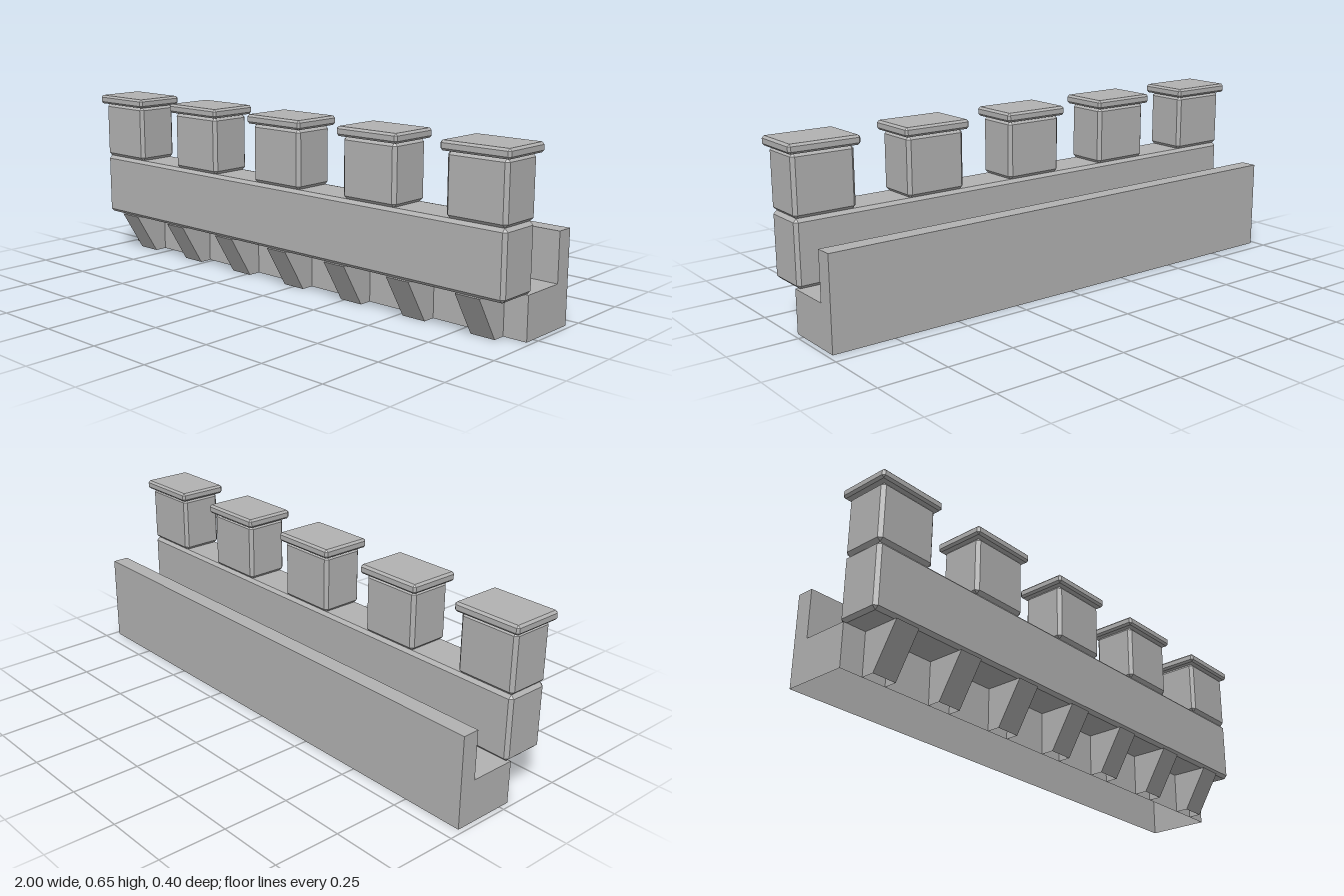
import * as THREE from 'three';
import { ConvexGeometry } from 'three/addons/geometries/ConvexGeometry.js';

const stone = new THREE.MeshStandardMaterial({ color: 0xb2b2b2 });
stone.name = 'stone grey';
stone.side = THREE.DoubleSide;

// Box with all twelve edges chamfered by b
function chamferBox(w, h, d, b) {
  const pts = [];
  for (const sx of [-1, 1]) for (const sy of [-1, 1]) for (const sz of [-1, 1]) {
    const x = w / 2, y = h / 2, z = d / 2;
    pts.push(
      new THREE.Vector3(sx * x, sy * (y - b), sz * (z - b)),
      new THREE.Vector3(sx * (x - b), sy * y, sz * (z - b)),
      new THREE.Vector3(sx * (x - b), sy * (y - b), sz * z));
  }
  return new ConvexGeometry(pts);
}

// Side profile of [z, y] points extruded along x, left open at the base
function openProfile(points, width) {
  const shape = new THREE.Shape(points.map(([z, y]) => new THREE.Vector2(-z, y)));
  const solid = new THREE.ExtrudeGeometry(shape, { depth: width, bevelEnabled: false });
  solid.translate(0, 0, -width / 2).rotateY(Math.PI / 2);
  const p = solid.attributes.position.array;
  const kept = [];
  for (let i = 0; i < p.length; i += 9) {
    const onBase = [1, 4, 7].every((k) => Math.abs(p[i + k]) < 1e-5);
    if (!onBase) kept.push(...p.slice(i, i + 9));
  }
  const geo = new THREE.BufferGeometry();
  geo.setAttribute('position', new THREE.Float32BufferAttribute(kept, 3));
  geo.computeVertexNormals();
  return geo;
}

export function createModel() {
  const group = new THREE.Group();
  group.name = 'battlement';
  const add = (name, geometry, x = 0, y = 0, z = 0) => {
    const mesh = new THREE.Mesh(geometry, stone);
    mesh.name = name;
    mesh.position.set(x, y, z);
    group.add(mesh);
  };

  // Walkway with the low rear wall
  add('walkway', openProfile([
    [0.04, 0], [0.04, 0.157], [-0.134, 0.157],
    [-0.134, 0.335], [-0.197, 0.335], [-0.197, 0],
  ], 1.964));

  // Sloped supports under the front parapet
  const corbel = openProfile([[0.04, 0], [0.088, 0], [0.182, 0.157], [0.04, 0.157]], 0.094);
  for (let i = -3; i <= 3; i++) add('corbel', corbel, i * 0.282);

  // Long parapet block
  add('parapet', chamferBox(1.964, 0.238, 0.165, 0.012), 0, 0.276, 0.1);

  // Merlons with capstones
  const merlon = chamferBox(0.23, 0.217, 0.165, 0.012);
  const cap = chamferBox(0.262, 0.034, 0.197, 0.008);
  for (let i = -2; i <= 2; i++) {
    add('merlon', merlon, i * 0.4335, 0.5035, 0.1);
    add('capstone', cap, i * 0.4335, 0.629, 0.1);
  }
  return group;
}
